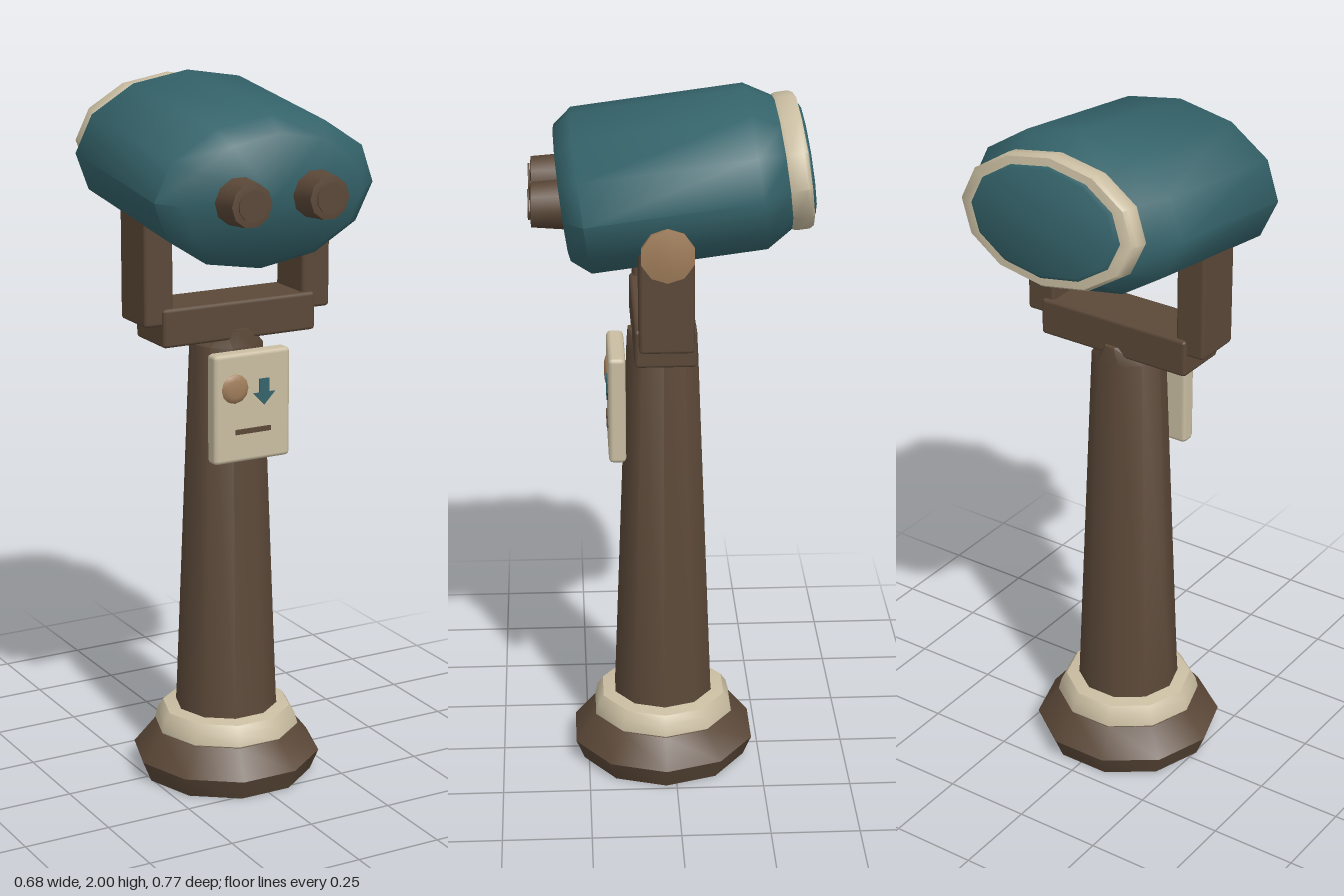
import * as THREE from 'three';
import { toCreasedNormals } from 'three/addons/utils/BufferGeometryUtils.js';
import { RoundedBoxGeometry } from 'three/addons/geometries/RoundedBoxGeometry.js';

const material = (name, color) => {
  const m = new THREE.MeshStandardMaterial({ color });
  m.name = name;
  return m;
};

// Turned shape from [radius, height] pairs, listed bottom to top
const turned = (profile, sides, crease = 0.75) =>
  toCreasedNormals(
    new THREE.LatheGeometry(profile.map(([r, y]) => new THREE.Vector2(r, y)), sides).rotateY(Math.PI / 2),
    crease
  );

export function createModel() {
  const brown = material('brown metal', 0x5b4838);
  const teal = material('teal paint', 0x34636a);
  const cream = material('cream trim', 0xcabea2);
  const tan = material('tan brass', 0xa17e5b);

  const model = new THREE.Group();
  model.name = 'coinViewer';
  const add = (name, geometry, mat, x = 0, y = 0, z = 0, parent = model) => {
    const mesh = new THREE.Mesh(geometry, mat);
    mesh.name = name;
    mesh.position.set(x, y, z);
    parent.add(mesh);
    return mesh;
  };
  const X = -0.01, Z = 0.03; // axis of the column

  // Foot, collar and tapered column
  add('base', turned([[0, 0], [0.245, 0], [0.27, 0.06], [0.208, 0.137], [0, 0.137]], 10), brown, X, 0, Z);
  add('collar', turned([[0.2, 0.13], [0.208, 0.14], [0.2, 0.172], [0.184, 0.196], [0.13, 0.205]], 10), cream, X, 0, Z);
  const column = new THREE.LatheGeometry(
    [[0.15, 0.17], [0.145, 0.22], [0.103, 1.275], [0.1, 1.325], [0, 1.325]].map(([r, y]) => new THREE.Vector2(r, y)), 10
  ).rotateY(Math.PI / 2);
  const p = column.attributes.position;
  for (let i = 0; i < p.count; i++) if (p.getY(i) > 1.3) p.setX(i, p.getX(i) * 0.47); // wedge-shaped top
  add('column', toCreasedNormals(column, 0.75), brown, X, 0, Z);

  // Fork holding the viewer
  add('forkBeam', new RoundedBoxGeometry(0.475, 0.108, 0.168, 1, 0.01), brown, X, 1.349, Z);
  for (const s of [-1, 1])
    add(s > 0 ? 'leftForkArm' : 'rightForkArm', new RoundedBoxGeometry(0.088, 0.32, 0.148, 1, 0.01), brown, X + s * 0.245, 1.515, Z);
  const knob = turned([[0, 0], [0.045, 0], [0.06, 0.03], [0.073, 0.055], [0.073, 0.068], [0.045, 0.073], [0, 0.075]], 10, 1.1);
  add('pivotKnob', knob.rotateZ(-Math.PI / 2), tan, 0.263, 1.647, Z);

  // Tilted oval head, running from front to back
  const head = new THREE.Group();
  head.name = 'viewerHead';
  head.position.set(X, 1.754, Z);
  head.rotation.x = 0.13;
  model.add(head);
  const oval = (profile, crease) => {
    const g = turned(profile, 12, 4).scale(0.333, 1, 0.2125).rotateX(-Math.PI / 2);
    return toCreasedNormals(g, crease);
  };
  add('headShell', oval([[0, -0.278], [0.82, -0.272], [1, -0.22], [1, 0.253], [0.78, 0.335], [0, 0.335]], 1.0), teal, 0, 0, 0, head);
  add('rearRing', oval([[0.74, 0.326], [0.815, 0.326], [0.83, 0.336], [0.83, 0.372], [0.8, 0.384], [0.7, 0.386], [0.68, 0.37]], 0.9), cream, 0, 0, 0, head);
  add('rearCover', oval([[0.7, 0.33], [0.7, 0.388], [0.66, 0.394], [0, 0.4]], 1.0), teal, 0, 0, 0, head);

  // Eyepieces
  for (const s of [-1, 1]) {
    const side = s > 0 ? 'left' : 'right';
    const tube = turned([[0.071, 0], [0.06, 0.145], [0.045, 0.147], [0, 0.147]], 10);
    add(side + 'Eyepiece', tube.rotateX(Math.PI / 2), brown, X + s * 0.117, 1.722, 0.238);
    add(side + 'EyeLens', new THREE.CylinderGeometry(0.043, 0.043, 0.005, 10).rotateX(Math.PI / 2), brown, X + s * 0.117, 1.722, 0.389);
  }

  // Coin panel with button, arrow and slot
  add('coinPanel', new RoundedBoxGeometry(0.238, 0.31, 0.048, 1, 0.012), cream, X, 1.12, 0.159);
  const button = turned([[0.042, 0], [0.04, 0.004], [0.025, 0.008], [0, 0.009]], 12, 1.2);
  add('coinButton', button.rotateX(Math.PI / 2), tan, -0.066, 1.177, 0.182);
  const arrow = new THREE.Shape(
    [[-0.016, 0.037], [0.016, 0.037], [0.016, -0.002], [0.034, -0.002], [0, -0.037], [-0.034, -0.002], [-0.016, -0.002]]
      .map(([x, y]) => new THREE.Vector2(x, y)).reverse()
  );
  add('downArrow', new THREE.ExtrudeGeometry(arrow, { depth: 0.006, bevelEnabled: false }), teal, 0.024, 1.16, 0.181);
  add('coinSlot', new THREE.BoxGeometry(0.11, 0.014, 0.008), brown, X, 1.054, 0.183);

  return model;
}
